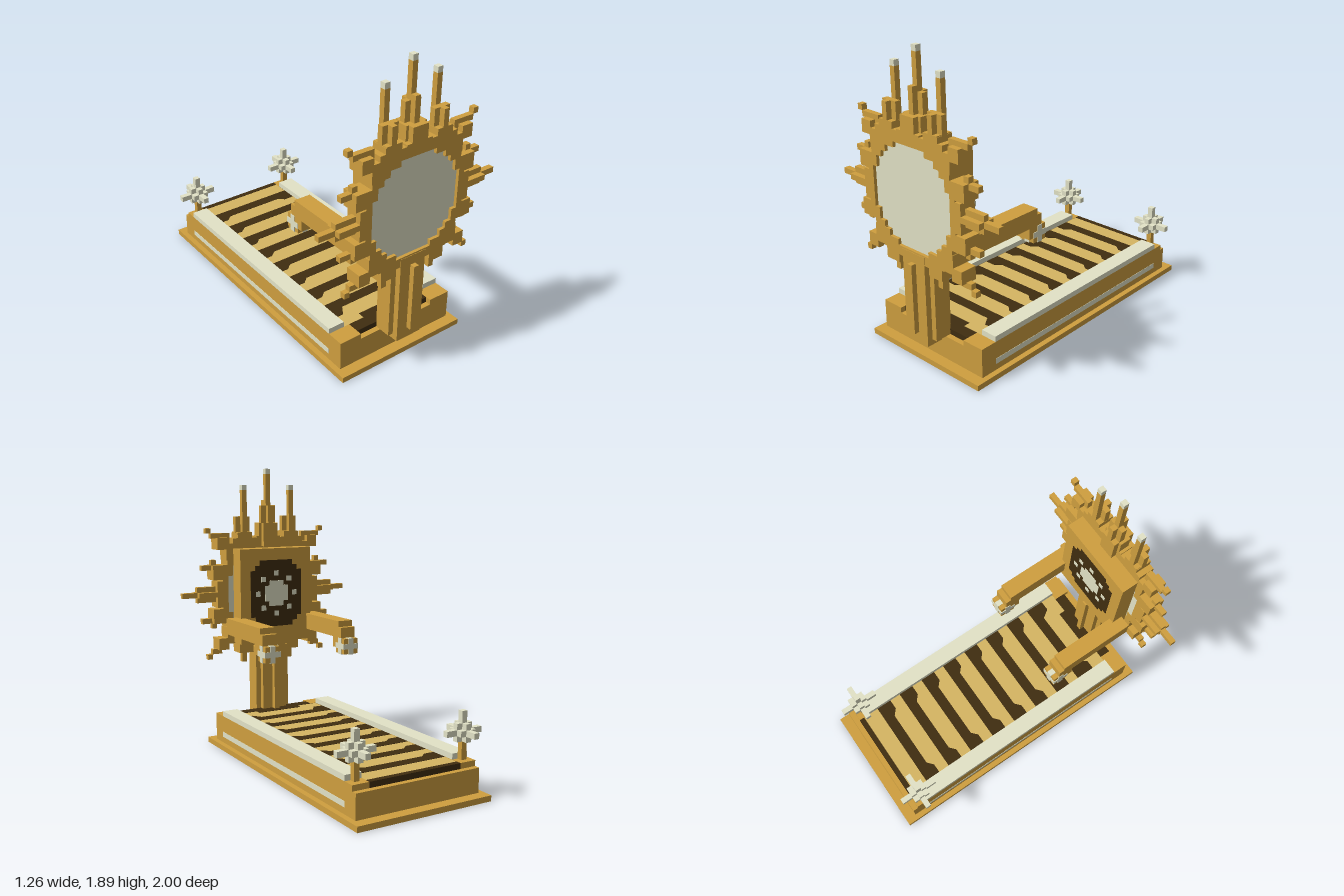
import * as THREE from 'three';

const mat = (name, color) => Object.assign(new THREE.MeshStandardMaterial({ color }), { name });

export function createModel() {
  const root = new THREE.Group();
  const gold = mat('gold', 0xcf9f3f), pale = mat('pale stone', 0xe3e3c7);
  const dark = mat('dark brown', 0x402d10), tan = mat('tan', 0xd6b662);
  const H = 0.0175, CY = 1.04, CZ = 0.8775;

  const part = (name, parent = root) => {
    const g = new THREE.Group();
    g.name = name;
    parent.add(g);
    return g;
  };
  // box from min/max limits
  const box = (g, name, m, x0, x1, y0, y1, z0, z1) => {
    const b = new THREE.Mesh(new THREE.BoxGeometry(x1 - x0, y1 - y0, z1 - z0), m);
    b.position.set((x0 + x1) / 2, (y0 + y1) / 2, (z0 + z1) / 2);
    b.name = name;
    g.add(b);
  };
  // box repeated on the left and right
  const pair = (g, name, m, x0, x1, ...r) => {
    box(g, name, m, x0, x1, ...r);
    box(g, name, m, -x1, -x0, ...r);
  };
  // staircase outline of a disc from [half width, half height] steps
  const outline = (steps) => {
    const q = [];
    steps.forEach(([w, h], i) => {
      if (i) q.push([w, steps[i - 1][1]]);
      q.push([w, h]);
    });
    const r = [...q].reverse();
    return [...q, ...r.map(([x, y]) => [-x, y]), ...q.map(([x, y]) => [-x, -y]), ...r.map(([x, y]) => [x, -y])]
      .map(([x, y]) => new THREE.Vector2(x, y));
  };
  const disc = (g, name, m, steps, z0, z1, hole) => {
    const shape = new THREE.Shape(outline(steps));
    if (hole) shape.holes.push(new THREE.Path(outline(hole)));
    const mesh = new THREE.Mesh(new THREE.ExtrudeGeometry(shape, { depth: z1 - z0, bevelEnabled: false }), m);
    mesh.position.set(0, CY, z0);
    mesh.name = name;
    g.add(mesh);
  };

  // hollow bed frame
  const frame = part('bedFrame');
  pair(frame, 'sideLip', gold, 0.38, 0.453, 0, 0.035, -1, 0.93);
  box(frame, 'footLip', gold, -0.38, 0.38, 0, 0.035, -1, -0.895);
  box(frame, 'headLip', gold, -0.38, 0.38, 0, 0.035, 0.825, 0.93);
  pair(frame, 'sideWall', gold, 0.38, 0.418, 0.035, 0.22, -0.895, 0.86);
  box(frame, 'footWall', gold, -0.418, 0.418, 0.035, 0.185, -0.93, -0.895);
  box(frame, 'headWall', gold, -0.38, 0.38, 0.035, 0.185, 0.825, 0.86);
  pair(frame, 'headCorner', gold, 0.27, 0.38, 0.185, 0.22, 0.75, 0.86);
  pair(frame, 'footCorner', gold, 0.31, 0.38, 0.185, 0.22, -0.895, -0.82);
  pair(frame, 'topRail', pale, 0.31, 0.418, 0.22, 0.255, -0.82, 0.75);
  pair(frame, 'sideStripe', pale, 0.378, 0.42, 0.075, 0.11, -0.82, 0.75);

  // thin flat mattress with dark notched bands
  const mattress = part('mattress');
  box(mattress, 'mattressSlab', tan, -0.31, 0.31, 0.187, 0.218, -0.87, 0.8);
  box(mattress, 'footEdge', dark, -0.31, 0.31, 0.185, 0.22, -0.895, -0.86);
  box(mattress, 'headEdge', dark, -0.27, 0.27, 0.185, 0.22, 0.75, 0.825);
  box(mattress, 'headBand', dark, -0.16, 0.16, 0.185, 0.22, 0.705, 0.75);
  for (let i = 0; i < 8; i++) {
    const z = -0.75 + i * 0.182, d = i === 7 ? 0.13 : 0.105;
    const pts = [[-0.31, 0], [-0.31, d], [-0.24, d], [-0.2, 0.07], [0.2, 0.07], [0.24, d], [0.31, d], [0.31, 0]];
    const shape = new THREE.Shape(pts.map(([x, dz]) => new THREE.Vector2(x, -z - dz)));
    const band = new THREE.Mesh(new THREE.ExtrudeGeometry(shape, { depth: 0.035, bevelEnabled: false }), dark);
    band.rotation.x = -Math.PI / 2;
    band.position.y = 0.185;
    band.name = 'mattressBand';
    mattress.add(band);
  }

  // star finials on the foot corners
  for (const s of [1, -1]) {
    const f = part(s > 0 ? 'leftFinial' : 'rightFinial');
    f.position.set(s * 0.365, 0, -0.84);
    box(f, 'finialPost', gold, -H, H, 0.22, 0.34, -H, H);
    const y = 0.385, c = 0.054, a = 0.125;
    for (let k = 0; k < 3; k++) {
      const d = [c, c, c], l = [H, H, H];
      d[k] = H;
      l[k] = a;
      box(f, 'starPlate', pale, -d[0], d[0], y - d[1], y + d[1], -d[2], d[2]);
      box(f, 'starArm', pale, -l[0], l[0], k === 1 ? y : y - l[1], y + l[1], -l[2], l[2]);
    }
  }

  // pillar with a rib on each side
  const pillar = part('pillar');
  box(pillar, 'pillarCore', gold, -0.09, 0.09, 0.15, 0.72, CZ - 0.09, CZ + 0.09);
  box(pillar, 'pillarSideRibs', gold, -0.125, 0.125, 0.185, 0.66, CZ - 0.054, CZ + 0.054);
  box(pillar, 'pillarFrontRib', gold, -H, H, 0.22, 0.66, CZ - 0.125, 1);
  box(pillar, 'pillarFoot', gold, -H, H, 0.115, 0.15, 0.86, 0.93);

  // sunburst headboard
  const sun = part('sunburst');
  const face = [[0.31, 0.125], [0.275, 0.195], [0.235, 0.235], [0.195, 0.275], [0.125, 0.31]];
  const rim = [[0.35, 0.16], [0.315, 0.23], [0.275, 0.275], [0.23, 0.315], [0.16, 0.37]];
  box(sun, 'backBox', gold, -0.27, 0.27, 0.7, 1.35, 0.75, 0.865);
  disc(sun, 'sunRing', gold, rim, 0.86, 0.965, face);
  disc(sun, 'sunFace', pale, face, 0.862, 0.945);
  // side rays
  pair(sun, 'rayBase', gold, 0.31, 0.39, CY - 0.09, CY + 0.09, 0.86, 0.965);
  pair(sun, 'rayMiddle', gold, 0.39, 0.525, CY - 0.053, CY + 0.053, 0.895, 0.93);
  pair(sun, 'rayMiddle', gold, 0.39, 0.525, CY - H, CY + H, 0.86, 0.965);
  pair(sun, 'rayTip', gold, 0.525, 0.63, CY - H, CY + H, 0.895, 0.93);
  // angled rays, mirrored above and below: x0, x1, y0, y1, thin
  const rays = [
    [0.31, 0.42, 0.1, 0.2, 0], [0.42, 0.49, 0.165, 0.2, 1], [0.385, 0.42, 0.2, 0.235, 1],
    [0.23, 0.32, 0.23, 0.345, 0], [0.31, 0.385, 0.305, 0.385, 0],
    [0.35, 0.42, 0.38, 0.415, 1], [0.42, 0.455, 0.415, 0.45, 1],
    [0.125, 0.25, 0.28, 0.35, 0], [0.125, 0.23, 0.34, 0.42, 0],
  ];
  for (const [x0, x1, y0, y1, thin] of rays) {
    const z0 = thin ? 0.895 : 0.86, z1 = thin ? 0.93 : 0.965;
    pair(sun, 'angledRay', gold, x0, x1, CY + y0, CY + y1, z0, z1);
    pair(sun, 'angledRay', gold, x0, x1, CY - y1, CY - y0, z0, z1);
  }
  pair(sun, 'upperRayBlock', gold, 0.28, 0.35, 1.38, 1.455, 0.895, 0.93);
  pair(sun, 'lowerRayTip', gold, 0.16, 0.195, 0.55, 0.62, 0.895, 0.93);

  // crown spires: x, base, shoulder, middle, tip, back and front of the cross
  const spires = [
    [0, 1.36, 1.52, 1.64, 1.89, 0.825, 0.93],
    [0.18, 1.35, 1.455, 1.565, 1.78, 0.86, 0.965],
    [-0.18, 1.35, 1.455, 1.565, 1.78, 0.86, 0.965],
  ];
  for (const [x, y0, y1, y2, y3, back, front] of spires) {
    const spire = part('spire', sun);
    spire.position.x = x;
    box(spire, 'spireBase', gold, -0.09, 0.09, y0, y0 + 0.07, 0.86, 0.965);
    box(spire, 'spireShoulder', gold, -0.054, 0.054, y0, y1, back, 0.965);
    box(spire, 'spireMiddle', gold, -0.054, 0.054, y1, y2, back + 0.035, front - 0.035);
    box(spire, 'spireMiddle', gold, -H, H, y1, y2, back, front);
    box(spire, 'spireTop', gold, -H, H, y2, y3 - 0.035, 0.86, 0.895);
    box(spire, 'spireTip', pale, -H, H, y3 - 0.035, y3, 0.86, 0.895);
  }
  // wider step beside the centre spire
  box(sun, 'spireStep', gold, -0.054 - H, 0.054 + H, 1.41, 1.52, 0.86, 0.93);
  box(sun, 'spireFrontStep', gold, -H, H, 1.64, 1.675, 0.895, 0.93);

  // dark rosette on the back of the box
  const rosette = part('backRosette');
  disc(rosette, 'rosetteDisc', dark, [[0.195, 0.16], [0.16, 0.195], [0.125, 0.23]], 0.747, 0.752);
  disc(rosette, 'rosetteCentre', pale, [[0.088, 0.054], [0.054, 0.088]], 0.744, 0.75);
  for (let i = 0; i < 8; i++) {
    const a = (i * Math.PI) / 4, x = 0.14 * Math.cos(a), y = CY + 0.14 * Math.sin(a);
    box(rosette, 'rosetteDot', pale, x - H, x + H, y - H, y + H, 0.744, 0.75);
  }

  // arms with hanging lamps
  for (const s of [1, -1]) {
    const arm = part(s > 0 ? 'leftArm' : 'rightArm');
    arm.position.x = s * 0.292;
    const w = 0.054, c = 0.018;
    box(arm, 'armBeam', gold, -w, w, 0.77, 0.88, 0.315, 0.82);
    box(arm, 'armEnd', gold, -w, w, 0.765, 0.84, 0.28, 0.315);
    box(arm, 'armDrop', gold, -w, w, 0.7, 0.77, 0.28, 0.385);
    box(arm, 'lampBody', gold, -0.052, 0.052, 0.665, 0.768, 0.244, 0.345);
    // plus-shaped pale panels on the lamp faces
    for (const [p, q] of [[w, c], [c, w]]) {
      box(arm, 'lampPanelBack', pale, -p, p, 0.716 - q, 0.716 + q, 0.24, 0.248);
      box(arm, 'lampPanelFront', pale, -p, p, 0.716 - q, 0.716 + q, 0.341, 0.349);
      box(arm, 'lampPanelBottom', pale, -p, p, 0.661, 0.669, 0.295 - q, 0.295 + q);
      pair(arm, 'lampPanelSide', pale, 0.049, 0.057, 0.716 - p, 0.716 + p, 0.295 - q, 0.295 + q);
    }
    box(arm, 'lampTop', pale, -c, c, 0.766, 0.771, 0.24, 0.28);
  }
  return root;
}
